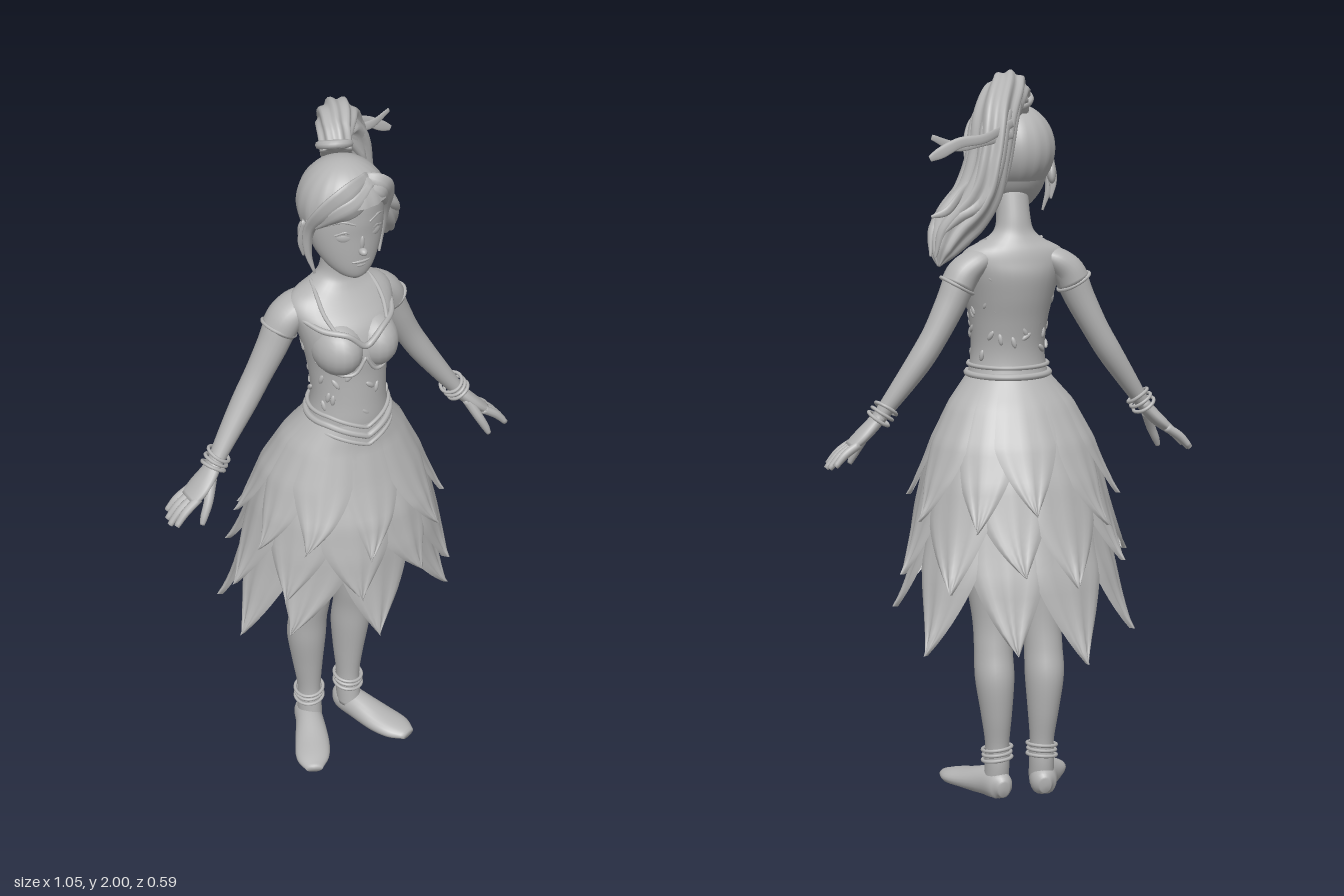
import * as THREE from 'three';

const grey = new THREE.MeshStandardMaterial({ color: 0xb4b4b4, side: THREE.DoubleSide });
grey.name = 'clay grey';
const X = new THREE.Vector3(1, 0, 0), Y = new THREE.Vector3(0, 1, 0), Z = new THREE.Vector3(0, 0, 1);

function add(group, name, geometry) {
  const mesh = new THREE.Mesh(geometry, grey);
  mesh.name = name;
  group.add(mesh);
  return mesh;
}

// Grid of (rows+1) x cols points, optionally closed across, into a smooth surface
function grid(rows, cols, closed, fn) {
  const pos = [], idx = [], n = closed ? cols : cols + 1;
  for (let i = 0; i <= rows; i++)
    for (let j = 0; j < n; j++) pos.push(...fn(i / rows, j / cols));
  for (let i = 0; i < rows; i++)
    for (let j = 0; j < cols; j++) {
      const k = (j + 1) % n, a = i * n + j, b = i * n + k, c = a + n, d = b + n;
      idx.push(a, b, c, b, d, c);
    }
  const g = new THREE.BufferGeometry();
  g.setAttribute('position', new THREE.Float32BufferAttribute(pos, 3));
  g.setIndex(idx);
  g.computeVertexNormals();
  return g;
}

// Smooth elliptical sweep through [x, y, z, a, b]; a lies along ref, b across it
function sweep(pts, ref, { level = false, segs = 16, steps = 5, lobes = 0, depth = 0, twist = 0, floor = -9 } = {}) {
  const path = new THREE.CatmullRomCurve3(pts.map(p => new THREE.Vector3(p[0], p[1], p[2])), false, 'catmullrom');
  const size = new THREE.CatmullRomCurve3(pts.map(p => new THREE.Vector3(p[3], p[4] ?? p[3], 0)), false, 'catmullrom');
  const rows = (pts.length - 1) * steps + 2;
  const rings = [];
  for (let i = 0; i <= rows; i++) {
    const t = Math.min(1, Math.max(0, (i - 1) / (rows - 2)));
    const T = level ? Y.clone() : path.getTangent(t);
    const N = ref.clone().addScaledVector(T, -ref.dot(T)).normalize();
    const cap = i === 0 || i === rows ? 0 : 1;
    rings.push({ c: path.getPoint(t), s: size.getPoint(t), N, B: T.clone().cross(N), cap, t });
  }
  return grid(rows, segs, true, (u, v) => {
    const r = rings[Math.round(u * rows)], f = v * Math.PI * 2;
    const k = r.cap * (1 + depth * Math.cos(lobes * f + twist * r.t));
    const p = r.c.clone().addScaledVector(r.N, k * Math.max(r.s.x, 0.001) * Math.cos(f))
      .addScaledVector(r.B, k * Math.max(r.s.y, 0.001) * Math.sin(f));
    return [p.x, Math.max(p.y, floor), p.z];
  });
}

const mirror = (pts, s) => pts.map(([x, ...rest]) => [x * s, ...rest]);
// Horizontal rings [y, z, rx, rz]
const loft = rings => sweep(rings.map(([y, z, rx, rz]) => [0, y, z, rz, rx]), Z, { level: true, segs: 32 });

function blob(group, name, p, s, rot = [0, 0, 0]) {
  const m = add(group, name, new THREE.SphereGeometry(1, 20, 14));
  m.position.set(...p);
  m.scale.set(...s);
  m.rotation.set(...rot);
}
function ring(group, name, p, dir, r, tube) {
  const m = add(group, name, new THREE.TorusGeometry(r, tube, 8, 28));
  m.position.set(...p);
  m.quaternion.setFromUnitVectors(Z, new THREE.Vector3(...dir).normalize());
}

// Skirt outline by height: [y, centre z, rx, rz]
const outline = [[1.18, 0.075, 0.108, 0.102], [1.1, 0.05, 0.172, 0.136], [1.0, 0.037, 0.222, 0.18],
  [0.9, 0.035, 0.252, 0.218], [0.8, 0.03, 0.272, 0.24], [0.65, 0.012, 0.3, 0.262], [0.4, -0.005, 0.325, 0.275]];
function skirtAt(y) {
  let i = 0;
  while (i < outline.length - 2 && y < outline[i + 1][0]) i++;
  const p = outline[i], q = outline[i + 1], t = (p[0] - y) / (p[0] - q[0]);
  return [1, 2, 3].map(k => p[k] + (q[k] - p[k]) * t);
}

// One leaf-shaped petal whose tip flares outward
function petal(angle, half, tip, { scale, full, flare }, bend, lift) {
  return grid(24, 12, false, (v, w) => {
    const u = w * 2 - 1, y = 1.175 + (tip - 1.175) * v;
    const taper = v < full ? 1 : 1 - Math.pow((v - full) / (1 - full), 1.2);
    const a = angle + u * half * taper + bend * v ** 5;
    const [cz, rx, rz] = skirtAt(y);
    const r = 1 - (1 - scale) * Math.min(1, v * 3) + lift * Math.min(1, v * 4) + 0.03 * v * (1 - u * u) + 0.012 * v * Math.cos(u * 9) + flare * v ** 6;
    return [Math.sin(a) * rx * r, y, cz + Math.cos(a) * rz * r];
  });
}

export function createModel() {
  const model = new THREE.Group();
  let seed = 7;
  const rand = () => (seed = (seed * 16807) % 2147483647) / 2147483647;

  // Torso, neck and hips
  add(model, 'torso', loft([[0.86, 0.01, 0.1, 0.07], [0.93, 0.015, 0.15, 0.11], [1.03, 0.03, 0.155, 0.125], [1.1, 0.05, 0.135, 0.115],
    [1.17, 0.073, 0.112, 0.103], [1.24, 0.076, 0.102, 0.097], [1.32, 0.068, 0.108, 0.102], [1.39, 0.06, 0.122, 0.112],
    [1.45, 0.045, 0.137, 0.108], [1.49, 0.03, 0.148, 0.088], [1.52, 0.021, 0.132, 0.072], [1.545, 0.018, 0.085, 0.058],
    [1.57, 0.018, 0.055, 0.048], [1.61, 0.023, 0.046, 0.045], [1.68, 0.04, 0.045, 0.046]]));
  for (const s of [-1, 1]) blob(model, 'bust', [s * 0.052, 1.395, 0.105], [0.067, 0.078, 0.088]);

  // Bodice trim and embossed leaves
  add(model, 'necklineTrim', sweep([[-0.13, 1.475, 0.07, 0.006], [-0.1, 1.462, 0.125, 0.008], [-0.05, 1.455, 0.167, 0.008], [0, 1.415, 0.172, 0.009],
    [0.05, 1.455, 0.167, 0.008], [0.1, 1.462, 0.125, 0.008], [0.13, 1.475, 0.07, 0.006]], Y, { segs: 8 }));
  for (const s of [-1, 1]) {
    add(model, 'strapTrim', sweep(mirror([[0.075, 1.55, 0.01, 0.005], [0.085, 1.53, 0.06, 0.006], [0.087, 1.495, 0.105, 0.006], [0.075, 1.46, 0.147, 0.005]], s), X, { segs: 8 }));
    add(model, 'bustTrim', sweep(mirror([[0, 1.38, 0.172, 0.005], [0.03, 1.335, 0.168, 0.005], [0.07, 1.335, 0.15, 0.005], [0.11, 1.36, 0.1, 0.004]], s), Y, { segs: 8 }));
  }
  for (let i = 0; i < 60; i++) {
    const a = i * 2.4, y = 1.21 + 0.27 * rand(), front = Math.cos(a) > 0;
    if (front && y > 1.34) continue;
    const k = Math.max(0, (y - 1.32) / 0.16);
    blob(model, 'bodiceLeaf', [Math.sin(a) * (0.104 + 0.035 * k), y, 0.072 - 0.035 * k + Math.cos(a) * 0.098], [0.007, 0.016, 0.006], [0, a, rand() * 2 - 1]);
  }

  // Pointed waistband
  for (const [y0, r] of [[1.2, 0.006], [1.175, 0.009], [1.15, 0.006]]) {
    const pts = [];
    for (let i = 0; i < 48; i++) {
      const a = (i / 48) * Math.PI * 2, grow = 1.01 + (1.2 - y0) * 1.5;
      const dip = Math.cos(a) > 0 ? 0.035 * Math.max(0, 1 - Math.abs(Math.sin(a)) * 1.2) : 0;
      pts.push(new THREE.Vector3(Math.sin(a) * 0.108 * grow, y0 - dip, 0.074 + Math.cos(a) * 0.104 * grow));
    }
    add(model, 'waistband', new THREE.TubeGeometry(new THREE.CatmullRomCurve3(pts, true), 96, r, 8, true));
  }

  // Skirt: three layers of pointed petals, longer towards the back
  const layers = [
    { n: 10, tip: 0.82, scale: 1.0, full: 0.5, flare: 0.09, shift: 0, drop: 0.015 },
    { n: 10, tip: 0.67, scale: 0.975, full: 0.66, flare: 0.1, shift: 0.5, drop: 0.03 },
    { n: 9, tip: 0.505, scale: 0.9, full: 0.66, flare: 0.16, shift: 0, drop: 0.06 },
  ];
  for (const layer of layers)
    for (let i = 0; i < layer.n; i++) {
      const a = ((i + layer.shift + 0.2 * (rand() - 0.5)) / layer.n) * Math.PI * 2;
      const y = layer.tip + layer.drop * Math.cos(a) + 0.06 * (rand() - 0.5);
      add(model, 'skirtPetal', petal(a, (Math.PI / layer.n) * 1.25, y, layer, (rand() - 0.5) * 0.25, (i % 2) * 0.018));
    }

  for (const s of [-1, 1]) {
    // Legs and flat shoes
    add(model, 'leg', sweep(mirror([[0.075, 0.97, 0.015, 0.085, 0.075], [0.08, 0.8, 0.01, 0.086, 0.078], [0.075, 0.62, -0.002, 0.076, 0.067],
      [0.07, 0.5, -0.012, 0.064, 0.056], [0.072, 0.42, -0.025, 0.06, 0.053], [0.072, 0.34, -0.037, 0.063, 0.054], [0.068, 0.24, -0.04, 0.052, 0.043],
      [0.065, 0.15, -0.037, 0.04, 0.033], [0.065, 0.09, -0.035, 0.042, 0.034], [0.066, 0.04, -0.03, 0.042, 0.034]], s), Z, { level: true, segs: 24 }));
    add(model, 'shoe', sweep(mirror([[0.06, 0.03, -0.088, 0.022, 0.016], [0.063, 0.034, -0.06, 0.042, 0.036], [0.08, 0.032, -0.005, 0.043, 0.041],
      [0.112, 0.02, 0.07, 0.032, 0.05], [0.14, 0.014, 0.125, 0.023, 0.047], [0.157, 0.011, 0.166, 0.012, 0.024]], s), Y, { segs: 24, floor: 0 }));
    for (const [y, r] of [[0.107, 0.041], [0.122, 0.039], [0.137, 0.041]])
      ring(model, 'ankleBracelet', [s * 0.065, y, -0.036], [s * 0.1, 1, 0.1], r, 0.005);

    // Arms, cap sleeves and bracelets
    add(model, 'arm', sweep(mirror([[0.11, 1.49, 0.003, 0.045, 0.035], [0.15, 1.45, 0.0, 0.048, 0.044], [0.183, 1.38, -0.002, 0.044, 0.041], [0.225, 1.3, -0.005, 0.039, 0.036],
      [0.268, 1.23, -0.002, 0.037, 0.034], [0.32, 1.155, 0.008, 0.031, 0.028], [0.368, 1.088, 0.02, 0.025, 0.021], [0.385, 1.065, 0.024, 0.025, 0.018]], s), Z, { segs: 20 }));
    add(model, 'sleeve', sweep(mirror([[0.07, 1.505, 0.012, 0.04, 0.022], [0.11, 1.488, 0.008, 0.055, 0.036], [0.145, 1.46, 0.004, 0.055, 0.044], [0.165, 1.425, 0, 0.052, 0.046]], s), Z, { segs: 24 }));
    ring(model, 'sleeveCuff', [s * 0.165, 1.427, 0], [s * 0.5, -0.9, 0], 0.048, 0.005);
    for (let i = 0; i < 3; i++)
      ring(model, 'bracelet', [s * (0.359 + i * 0.01), 1.1 - i * 0.014, 0.017 + i * 0.003], [s * 0.55, -0.8, (i - 1) * 0.15], 0.032, 0.005);

    // Hand with four fingers and a thumb
    add(model, 'palm', sweep(mirror([[0.372, 1.083, 0.02, 0.024, 0.018], [0.395, 1.055, 0.027, 0.034, 0.019], [0.425, 1.025, 0.03, 0.041, 0.018], [0.458, 0.997, 0.03, 0.038, 0.013]], s), Z));
    for (let k = 0; k < 4; k++) {
      const z = 0.001 + k * 0.019, e = -0.006 + k * 0.024, l = [0.84, 0.98, 1.03, 0.92][k];
      add(model, 'finger', sweep(mirror([[0.44, 1.008, z, 0.012], [0.44 + 0.045 * l, 1.008 - 0.03 * l, (z + e) / 2, 0.0115], [0.44 + 0.078 * l, 1.008 - 0.066 * l, e, 0.008]], s), Z, { segs: 10 }));
    }
    add(model, 'thumb', sweep(mirror([[0.395, 1.05, 0.045, 0.015], [0.418, 1.0, 0.07, 0.013], [0.436, 0.965, 0.08, 0.011], [0.446, 0.942, 0.085, 0.007]], s), Z, { segs: 10 }));
  }

  // Head and face
  const head = new THREE.Group();
  head.name = 'head';
  head.position.x = -0.006;
  model.add(head);
  add(head, 'face', loft([[1.603, 0.12, 0.016, 0.016], [1.615, 0.11, 0.04, 0.037], [1.64, 0.091, 0.066, 0.062], [1.68, 0.072, 0.088, 0.084],
    [1.73, 0.062, 0.101, 0.096], [1.78, 0.056, 0.104, 0.105], [1.84, 0.055, 0.098, 0.1], [1.89, 0.055, 0.05, 0.055]]));
  blob(head, 'nose', [0, 1.692, 0.162], [0.011, 0.01, 0.014]);
  blob(head, 'noseBridge', [0, 1.712, 0.154], [0.007, 0.024, 0.008], [0.15, 0, 0]);
  blob(head, 'upperLip', [0, 1.66, 0.148], [0.028, 0.006, 0.009]);
  blob(head, 'lowerLip', [0, 1.649, 0.145], [0.022, 0.008, 0.01]);
  for (const s of [-1, 1]) {
    blob(head, 'eye', [s * 0.043, 1.735, 0.141], [0.023, 0.016, 0.009], [0, s * 0.4, 0]);
    add(head, 'eyelid', sweep(mirror([[0.02, 1.738, 0.152, 0.003], [0.042, 1.752, 0.148, 0.004], [0.067, 1.742, 0.134, 0.003]], s), Y, { segs: 8 }));
    add(head, 'brow', sweep(mirror([[0.02, 1.772, 0.158, 0.003], [0.05, 1.782, 0.146, 0.004], [0.078, 1.77, 0.124, 0.002]], s), Y, { segs: 8 }));
    blob(head, 'ear', [s * 0.106, 1.72, 0.035], [0.012, 0.03, 0.02], [0.2, s * 0.3, 0]);
  }

  // Hair cap with a raised hairline over the face and strand ripples
  add(head, 'hairCap', grid(24, 72, true, (u, v) => {
    const a = -v * Math.PI * 2, c = Math.cos(a);
    const end = c > 0.45 ? 1.3 : 1.3 + 1.02 * Math.min(1, (0.45 - c) / 0.7);
    const f = u * end, r = 1 + 0.012 * Math.cos(a * 18) * u;
    return [-Math.sin(a) * Math.sin(f) * 0.117 * r, 1.787 + Math.cos(f) * 0.122, 0.055 + c * Math.sin(f) * 0.122 * r];
  }));
  // Swept fringe and loose side locks
  const locks = [
    [[0.035, 1.875, 0.115, 0.01, 0.015], [-0.03, 1.855, 0.145, 0.015, 0.034], [-0.085, 1.808, 0.125, 0.013, 0.033], [-0.112, 1.75, 0.085, 0.011, 0.018], [-0.112, 1.68, 0.075, 0.008, 0.01], [-0.095, 1.615, 0.08, 0.003]],
    [[0.035, 1.862, 0.135, 0.01, 0.012], [-0.015, 1.83, 0.158, 0.011, 0.025], [-0.062, 1.803, 0.144, 0.01, 0.024], [-0.103, 1.76, 0.1, 0.006, 0.008]],
    [[0.03, 1.875, 0.115, 0.01, 0.015], [0.068, 1.85, 0.13, 0.014, 0.028], [0.096, 1.8, 0.103, 0.012, 0.026], [0.109, 1.74, 0.075, 0.01, 0.015], [0.109, 1.68, 0.065, 0.007, 0.009], [0.1, 1.62, 0.07, 0.003]],
    [[0.025, 1.858, 0.138, 0.008, 0.01], [0.058, 1.832, 0.142, 0.01, 0.02], [0.092, 1.785, 0.11, 0.006, 0.01]],
    [[-0.1, 1.76, 0.06, 0.01, 0.02], [-0.113, 1.7, 0.045, 0.008, 0.012], [-0.106, 1.65, 0.04, 0.003]],
  ];
  for (const pts of locks) add(head, 'fringeLock', sweep(pts, Z, { segs: 20, lobes: 5, depth: 0.08 }));

  // Ponytail with tie, loose strands and ribbons
  ring(model, 'hairTie', [0.0, 1.92, 0.0], [0.2, 1, -0.5], 0.038, 0.011);
  add(model, 'ponytail', sweep([[0, 1.9, 0.01, 0.04, 0.04], [0.015, 1.94, -0.025, 0.043, 0.043], [0.052, 1.94, -0.08, 0.052, 0.057], [0.1, 1.87, -0.13, 0.055, 0.08],
    [0.125, 1.77, -0.15, 0.052, 0.083], [0.155, 1.68, -0.155, 0.058, 0.08], [0.212, 1.605, -0.16, 0.06, 0.062], [0.253, 1.54, -0.18, 0.032, 0.035], [0.268, 1.505, -0.195, 0.004]],
  X, { segs: 56, steps: 8, lobes: 8, depth: 0.09, twist: 3 }));
  for (let i = 0; i < 7; i++) {
    const a = i * 0.9, x = Math.cos(a), z = Math.sin(a), e = (i % 3) * 0.03;
    add(model, 'ponytailStrand', sweep([[0.05 + x * 0.03, 1.945 + x * 0.012, -0.08 + z * 0.032, 0.015], [0.1 + x * 0.045, 1.87, -0.13 + z * 0.062, 0.019],
      [0.125 + x * 0.045, 1.76, -0.15 + z * 0.068, 0.018], [0.165 + x * 0.05, 1.67, -0.155 + z * 0.065, 0.019], [0.227 + x * 0.045, 1.6 + e * 0.5, -0.165 + z * 0.045, 0.015],
      [0.265 + x * 0.022, 1.53 + e, -0.185 + z * 0.025, 0.003]], X, { segs: 10 }));
  }
  const ribbons = [
    [[0.07, 1.87, -0.2, 0.011, 0.003], [0.15, 1.835, -0.235, 0.012, 0.003], [0.22, 1.825, -0.24, 0.014, 0.003], [0.27, 1.8, -0.235, 0.015, 0.003], [0.3, 1.785, -0.235, 0.008, 0.002]],
    [[0.07, 1.84, -0.2, 0.011, 0.003], [0.16, 1.825, -0.23, 0.012, 0.003], [0.23, 1.815, -0.225, 0.013, 0.003], [0.295, 1.84, -0.235, 0.007, 0.002]],
    [[0.13, 1.74, -0.15, 0.014, 0.006], [0.2, 1.7, -0.2, 0.012, 0.005], [0.25, 1.65, -0.22, 0.011, 0.005], [0.292, 1.635, -0.215, 0.004, 0.002]],
  ];
  for (const pts of ribbons) add(model, 'hairRibbon', sweep(pts, Y, { segs: 10 }));
  return model;
}
